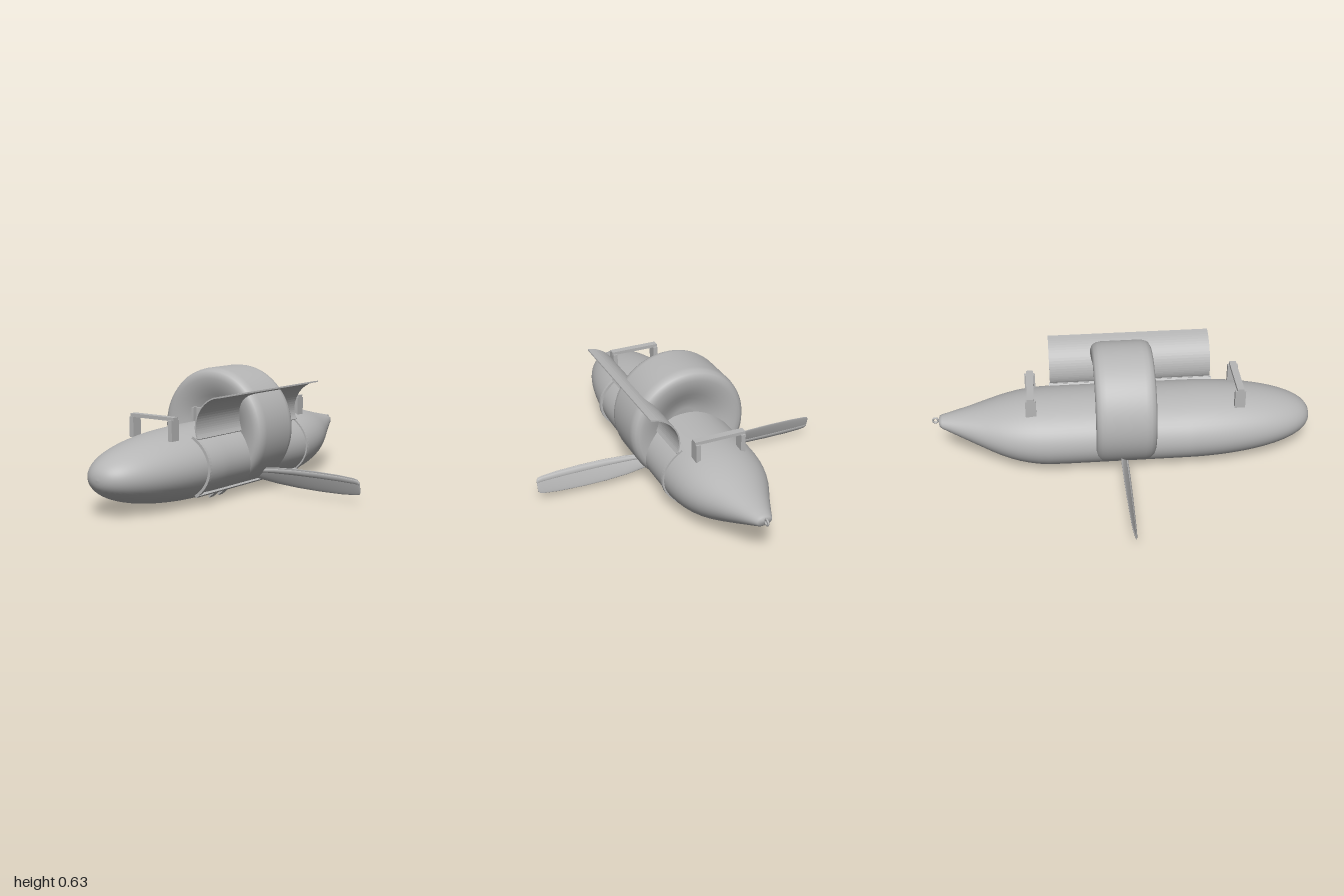
import * as THREE from 'three';

// Loft elliptical sections [z, halfWidth, yBottom, yTop], listed from high z to low z.
function loft(sections, sides) {
  const pos = [], index = [];
  sections.forEach(([z, w, lo, hi], i) => {
    for (let j = 0; j < sides; j++) {
      const t = (j / sides) * Math.PI * 2;
      pos.push(w * Math.cos(t), (lo + hi) / 2 + ((hi - lo) / 2) * Math.sin(t), z);
      if (i === sections.length - 1) continue;
      const a = i * sides + j, c = i * sides + ((j + 1) % sides);
      index.push(a, a + sides, c, c, a + sides, c + sides);
    }
  });
  const g = new THREE.BufferGeometry();
  g.setAttribute('position', new THREE.Float32BufferAttribute(pos, 3));
  g.setIndex(index);
  g.computeVertexNormals();
  return g;
}

// Curved plate lying on the hull's left side, between two angles and two z values.
function hullPlate(a0, a1, z0, z1, lift = 0.008) {
  const shape = new THREE.Shape(), n = 20, pts = [];
  for (const [off, flip] of [[lift, 0], [-0.006, 1]]) {
    for (let i = 0; i <= n; i++) {
      const k = flip ? n - i : i;
      const t = THREE.MathUtils.degToRad(a0 + ((a1 - a0) * k) / n);
      pts.push(new THREE.Vector2((0.25 + off) * Math.cos(t), 0.187 + (0.183 + off) * Math.sin(t)));
    }
  }
  shape.setFromPoints(pts);
  return new THREE.ExtrudeGeometry(shape, { depth: z1 - z0, bevelEnabled: false }).translate(0, 0, z0);
}

// Pitch a blade that runs along x, steep at the root and flatter at the tip.
function twist(g) {
  const p = g.attributes.position;
  for (let i = 0; i < p.count; i++) {
    const a = 0.5 - 0.28 * p.getX(i), y = p.getY(i), z = p.getZ(i);
    p.setY(i, y * Math.cos(a) - z * Math.sin(a));
    p.setZ(i, y * Math.sin(a) + z * Math.cos(a));
  }
  g.computeVertexNormals();
  return g;
}

export function createModel() {
  const model = new THREE.Group();
  const grey = new THREE.MeshStandardMaterial({ color: 0xb6b6b6 });
  grey.name = 'grey';

  const add = (name, geometry, parent = model) => {
    const m = new THREE.Mesh(geometry, grey);
    m.name = name;
    parent.add(m);
    return m;
  };
  const box = (name, w, h, d, x, y, z, parent) =>
    add(name, new THREE.BoxGeometry(w, h, d).translate(x, y, z), parent);

  // Hull: rounded nose, straight middle, tapering tail
  const sections = [];
  for (let i = 0; i <= 24; i++) {
    const a = (i / 24) * Math.PI / 2, r = Math.sin(a) ** 0.85;
    sections.push([0.33 + 0.67 * Math.cos(a), 0.25 * r, 0.188 - 0.184 * r, 0.188 + 0.181 * r]);
  }
  sections.push([0, 0.25, 0.003, 0.37], [-0.3, 0.25, 0.003, 0.37], [-0.4, 0.248, 0.004, 0.37],
    [-0.45, 0.244, 0.009, 0.369], [-0.5, 0.237, 0.018, 0.365], [-0.55, 0.226, 0.03, 0.359],
    [-0.6, 0.211, 0.046, 0.35], [-0.65, 0.191, 0.065, 0.34], [-0.7, 0.167, 0.087, 0.328],
    [-0.8, 0.116, 0.135, 0.304], [-0.9, 0.068, 0.185, 0.283],
    [-0.945, 0.048, 0.208, 0.274], [-0.96, 0.038, 0.222, 0.268], [-0.962, 0, 0.245, 0.245]);
  add('hull', loft(sections, 56));

  // Tow eye on the tail
  add('towEye', new THREE.TorusGeometry(0.014, 0.005, 10, 24).rotateY(Math.PI / 2).translate(0, 0.25, -0.981));

  // Fat round wheel housing with shallow dished faces
  const half = [[0.315, 0], [0.315, 0.1], [0.311, 0.125], [0.3, 0.145], [0.283, 0.154], [0.262, 0.155],
    [0.235, 0.151], [0.205, 0.142], [0.175, 0.129], [0.145, 0.114], [0.115, 0.101], [0.08, 0.091], [0, 0.087]];
  const profile = [...half.slice(1).reverse().map(([r, z]) => [r, -z]), ...half]
    .map(([r, z]) => new THREE.Vector2(r, z));
  add('wheelHousing', new THREE.LatheGeometry(profile, 72).rotateX(Math.PI / 2).translate(0, 0.32, 0));

  // Carry handles on top, fore and aft
  for (const z of [0.6, -0.48]) {
    const handle = new THREE.Group();
    handle.name = z > 0 ? 'frontHandle' : 'rearHandle';
    model.add(handle);
    for (const s of [-1, 1]) box('handleLeg', 0.024, 0.1, 0.055, s * 0.121, 0.38, z, handle);
    box('handleBar', 0.27, 0.017, 0.036, 0, 0.436, z, handle);
  }

  // Bracket with bolts in the housing's front dish
  const bracket = new THREE.Group();
  bracket.name = 'bracket';
  model.add(bracket);
  box('bracketPlate', 0.23, 0.1, 0.03, 0, 0.372, 0.115, bracket);
  for (const s of [-1, 1]) box('bracketSide', 0.014, 0.105, 0.05, s * 0.12, 0.372, 0.13, bracket);
  for (const [x, y] of [[0, 0.405], [-0.075, 0.372], [0.075, 0.372]])
    add('bolt', new THREE.CylinderGeometry(0.007, 0.007, 0.008, 12).rotateX(Math.PI / 2).translate(x, y, 0.133), bracket);

  // Opening frame on the left side
  const frame = new THREE.Group();
  frame.name = 'hatchFrame';
  model.add(frame);
  add('frameFrontRib', hullPlate(-48, 53, 0.475, 0.492), frame);
  add('frameRearRib', hullPlate(-48, 53, -0.38, -0.363), frame);
  add('frameTopRail', hullPlate(49, 54, -0.38, 0.492), frame);
  add('frameBottomRail', hullPlate(-49, -44, -0.38, 0.492, 0.011), frame);

  // Latch tabs below the opening
  for (const z of [0.32, 0.245, -0.257]) {
    const tab = box('latchTab', 0.012, 0.07, z < 0 ? 0.055 : 0.036, 0, 0, 0, frame);
    tab.position.set(0.153, 0.038, z);
    tab.rotation.z = -0.85;
  }

  // Open hatch: curved sheet swung up from its hinge
  const arc = [[0.313, 0.545], [0.265, 0.535], [0.222, 0.511], [0.187, 0.475], [0.165, 0.43],
    [0.158, 0.385], [0.163, 0.35], [0.175, 0.325]].map(([x, y]) => new THREE.Vector2(x, y));
  const curve = new THREE.SplineCurve(arc).getPoints(24);
  const inner = curve.map((p, i) => {
    const a = curve[Math.max(i - 1, 0)], b = curve[Math.min(i + 1, 24)];
    const d = b.clone().sub(a).normalize();
    return new THREE.Vector2(p.x - d.y * 0.007, p.y + d.x * 0.007);
  });
  add('hatchDoor', new THREE.ExtrudeGeometry(new THREE.Shape([...curve, ...inner.reverse()]),
    { depth: 0.86, bevelEnabled: false }).translate(0, 0, -0.375));
  add('hatchHinge', new THREE.CylinderGeometry(0.007, 0.007, 0.87, 12).rotateX(Math.PI / 2).translate(0.172, 0.33, 0.055));

  // Paddle blades, pitched opposite ways on the two sides
  const outline = [[0.1, 0.014, 0.025], [0.2, 0.013, 0.037], [0.3, 0.011, 0.05], [0.42, 0.009, 0.057],
    [0.55, 0.008, 0.058], [0.68, 0.007, 0.054], [0.76, 0.006, 0.047], [0.782, 0.005, 0.041],
    [0.79, 0.004, 0.03], [0.791, 0, 0]];
  const blade = twist(loft(outline.map(([x, t, c]) => [-x, t * 0.7, -c, c]), 24).rotateY(-Math.PI / 2));
  const spar = twist(loft(outline.map(([x, t, c]) => [-x, t, c * 0.3, c * 0.88]), 16).rotateY(-Math.PI / 2));
  for (const side of ['left', 'right']) {
    const arm = new THREE.Group();
    arm.name = side + 'Blade';
    arm.position.set(0, 0.087, -0.008);
    arm.rotation.z = side === 'left' ? 0 : Math.PI;
    model.add(arm);
    add('bladePanel', blade, arm);
    add('bladeSpar', spar, arm);
  }
  return model;
}
